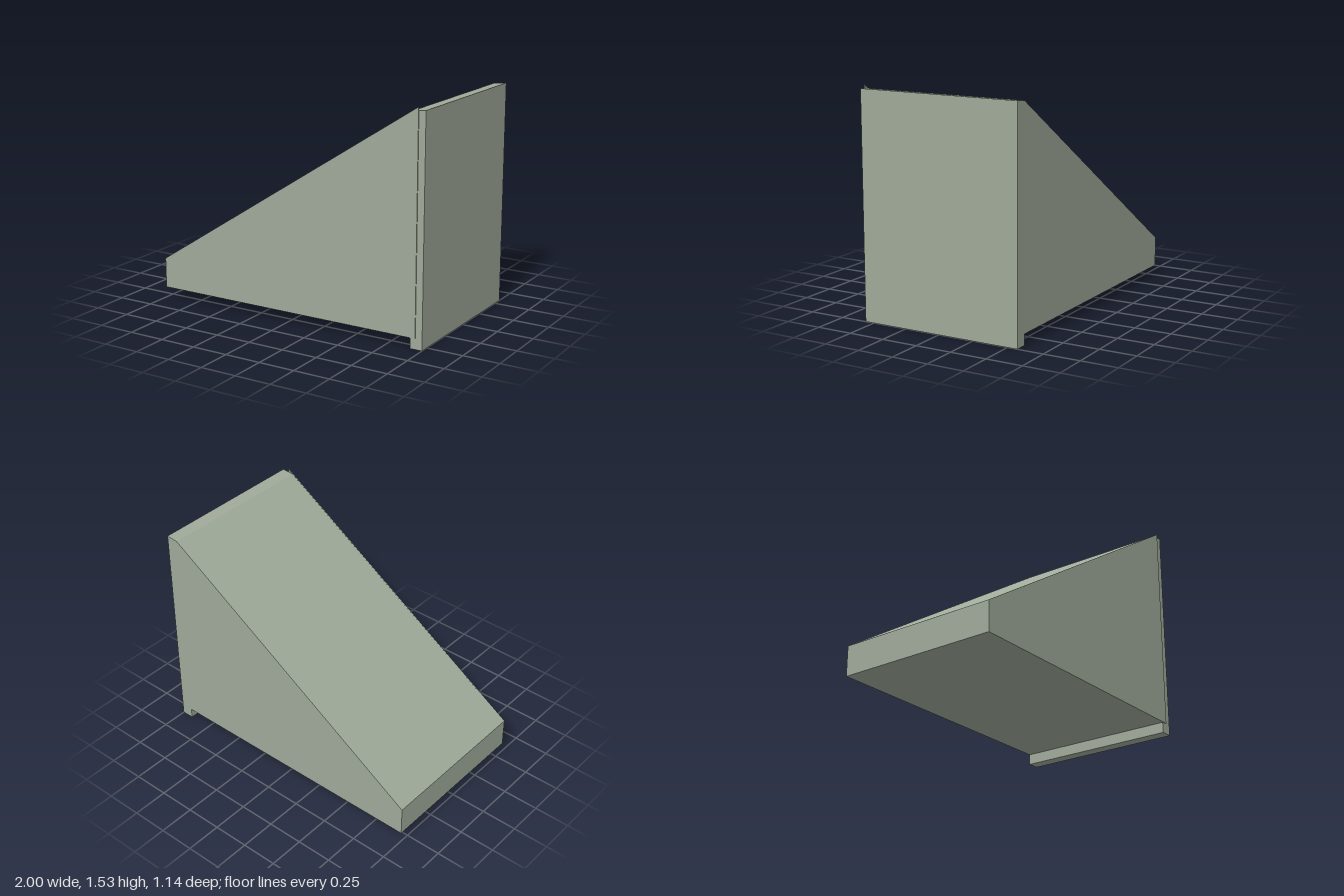
import * as THREE from 'three';

// Extrudes an x-y outline between two depths
function slab(name, points, z0, z1, material) {
  const shape = new THREE.Shape(points.map(([x, y]) => new THREE.Vector2(x, y)));
  const geometry = new THREE.ExtrudeGeometry(shape, { depth: z1 - z0, bevelEnabled: false });
  geometry.translate(0, 0, z0);
  const mesh = new THREE.Mesh(geometry, material);
  mesh.name = name;
  return mesh;
}

export function createModel() {
  const group = new THREE.Group();
  group.name = 'wedge';
  const sage = new THREE.MeshStandardMaterial({ color: 0x9fa999 });
  sage.name = 'sage grey';

  // Sloped body and upright end wall in one outline, with a lip below the base
  group.add(slab('wedgeBody', [
    [-1, 0.073], [0.915, 0.073], [0.915, 0], [1, 0],
    [1, 1.517], [0.915, 1.509], [-1, 0.28],
  ], -0.57, 0.564, sage));

  // Thin cheek plate on the front, following the slope past the end wall
  group.add(slab('frontCheek', [
    [-1, 0.073], [0.953, 0.073], [0.953, 1.535], [-1, 0.28],
  ], 0.564, 0.57, sage));

  return group;
}
